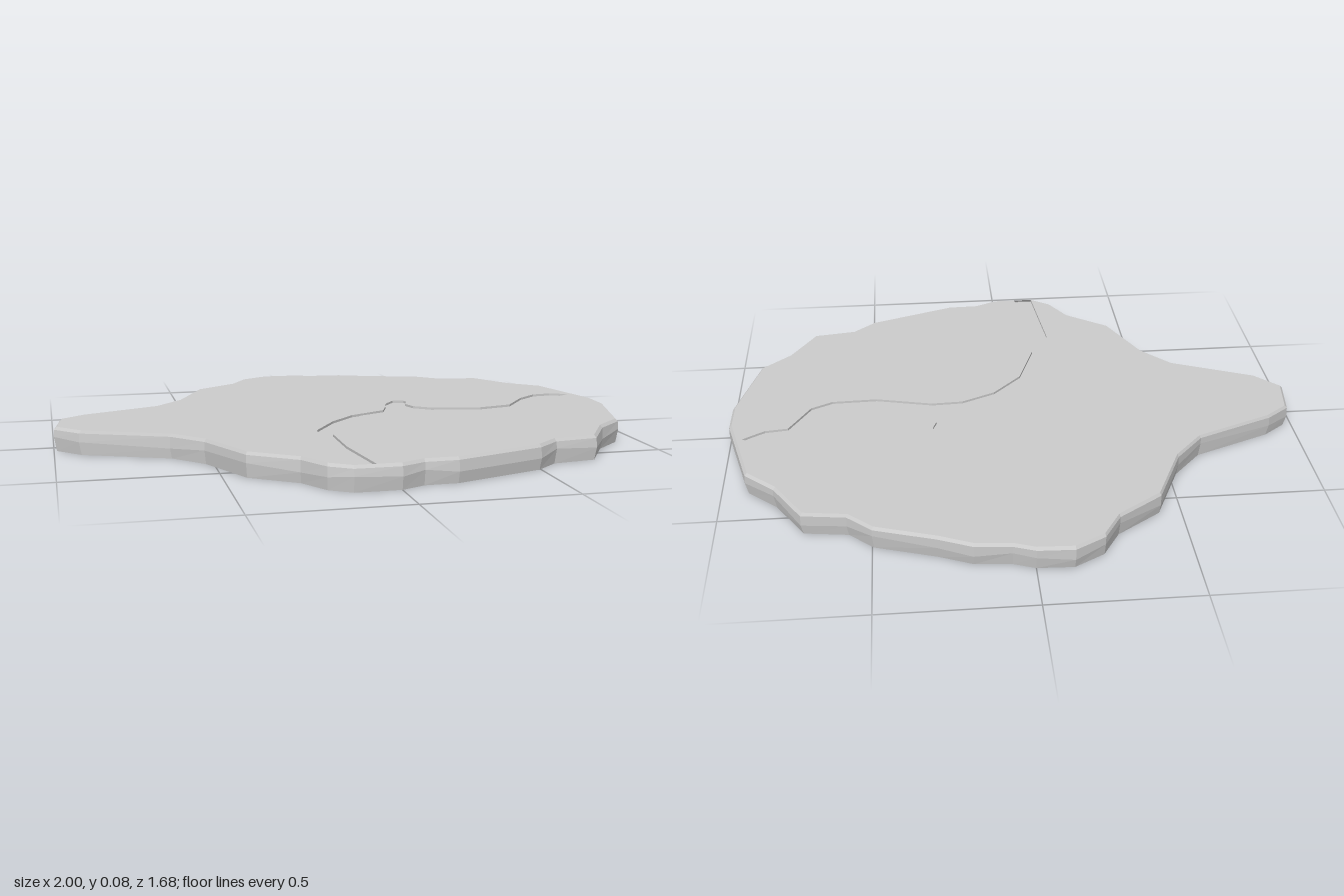
import * as THREE from 'three';

// Outline in x, z; runs from the front, round the right end, the back and the narrow tail
const outline = [
  [0, 0.836], [0.08, 0.798], [0.19, 0.795], [0.5, 0.685], [0.58, 0.615], [0.73, 0.593],
  [0.82, 0.443], [0.92, 0.352], [0.998, 0.07], [1, -0.05], [0.92, -0.355], [0.82, -0.445],
  [0.725, -0.597], [0.58, -0.617], [0.5, -0.69], [0.3, -0.755], [0.19, -0.802], [0.07, -0.812],
  [0, -0.838], [-0.12, -0.843], [-0.22, -0.787], [-0.28, -0.69], [-0.43, -0.587], [-0.53, -0.37],
  [-0.63, -0.26], [-0.9, -0.15], [-0.98, -0.09], [-1, 0.05], [-0.92, 0.132], [-0.63, 0.255],
  [-0.53, 0.362], [-0.43, 0.578], [-0.28, 0.685], [-0.22, 0.788], [-0.15, 0.836],
];

// Winding groove: back bank with the small hook, then the front bank on the way home
const groove = [
  [-0.18, 0.51], [-0.147, 0.31], [-0.061, 0.174], [0.03, 0.08], [0.1, 0.045], [0.165, 0.012],
  [0.19, -0.05], [0.21, -0.115], [0.25, -0.165], [0.29, -0.155], [0.293, -0.13], [0.278, -0.09],
  [0.293, -0.04], [0.35, 0.005], [0.53, 0.04], [0.655, 0.01], [0.745, -0.11], [0.82, -0.17],
  [0.89, -0.178], [0.955, -0.148],
  [0.926, -0.128], [0.88, -0.1], [0.8, -0.09], [0.725, 0.04], [0.65, 0.078], [0.49, 0.083],
  [0.29, 0.035], [0.18, 0.04], [0.06, 0.095], [-0.045, 0.205], [-0.11, 0.39], [-0.11, 0.58],
  [-0.08, 0.836],
];

const rimScale = 0.988;
const topHeight = 0.083;
const floorHeight = 0.075;

const material = new THREE.MeshStandardMaterial({
  color: 0xcccccc, flatShading: true, side: THREE.DoubleSide,
});

const toShape = (points) => new THREE.Shape(points.map(([x, z]) => new THREE.Vector2(x, -z)));

// Faceted wall: open underneath, widest at an uneven middle height, chamfered at the top
function wallGeometry() {
  const n = outline.length;
  const ring = (scale, height, shift = 0) => outline.map(([x, z], i) =>
    [x * scale, height(i), z * scale + shift]);
  const rings = [
    ring(0.99, () => 0, 0.003),
    ring(0.999, (i) => 0.042 + 0.008 * Math.sin(i * 1.9), 0.002),
    ring(0.997, () => 0.073),
    ring(rimScale, () => topHeight),
  ];
  const index = [];
  for (let r = 0; r < rings.length - 1; r++) {
    for (let i = 0; i < n; i++) {
      const a = r * n + i, b = r * n + (i + 1) % n;
      index.push(a, b, b + n, a, b + n, a + n);
    }
  }
  const geometry = new THREE.BufferGeometry();
  geometry.setAttribute('position', new THREE.Float32BufferAttribute(rings.flat(2), 3));
  geometry.setIndex(index);
  const flat = geometry.toNonIndexed();
  flat.computeVertexNormals();
  return flat;
}

// Sheet that forms the groove floor and the underside of the top
function floorGeometry() {
  return new THREE.ShapeGeometry(toShape(outline))
    .rotateX(-Math.PI / 2).scale(rimScale, 1, rimScale).translate(0, floorHeight - 0.0005, 0);
}

// Thin top layer, cut open along the groove
function topGeometry() {
  return new THREE.ExtrudeGeometry(toShape([...outline, ...groove]),
    { depth: topHeight - floorHeight, bevelEnabled: false })
    .rotateX(-Math.PI / 2).scale(rimScale, 1, rimScale).translate(0, floorHeight, 0);
}

export function createModel() {
  const group = new THREE.Group();
  group.name = 'slab';
  const add = (name, geometry) => {
    const mesh = new THREE.Mesh(geometry, material);
    mesh.name = name;
    group.add(mesh);
  };
  add('wall', wallGeometry());
  add('grooveFloor', floorGeometry());
  add('groovedTop', topGeometry());
  return group;
}
